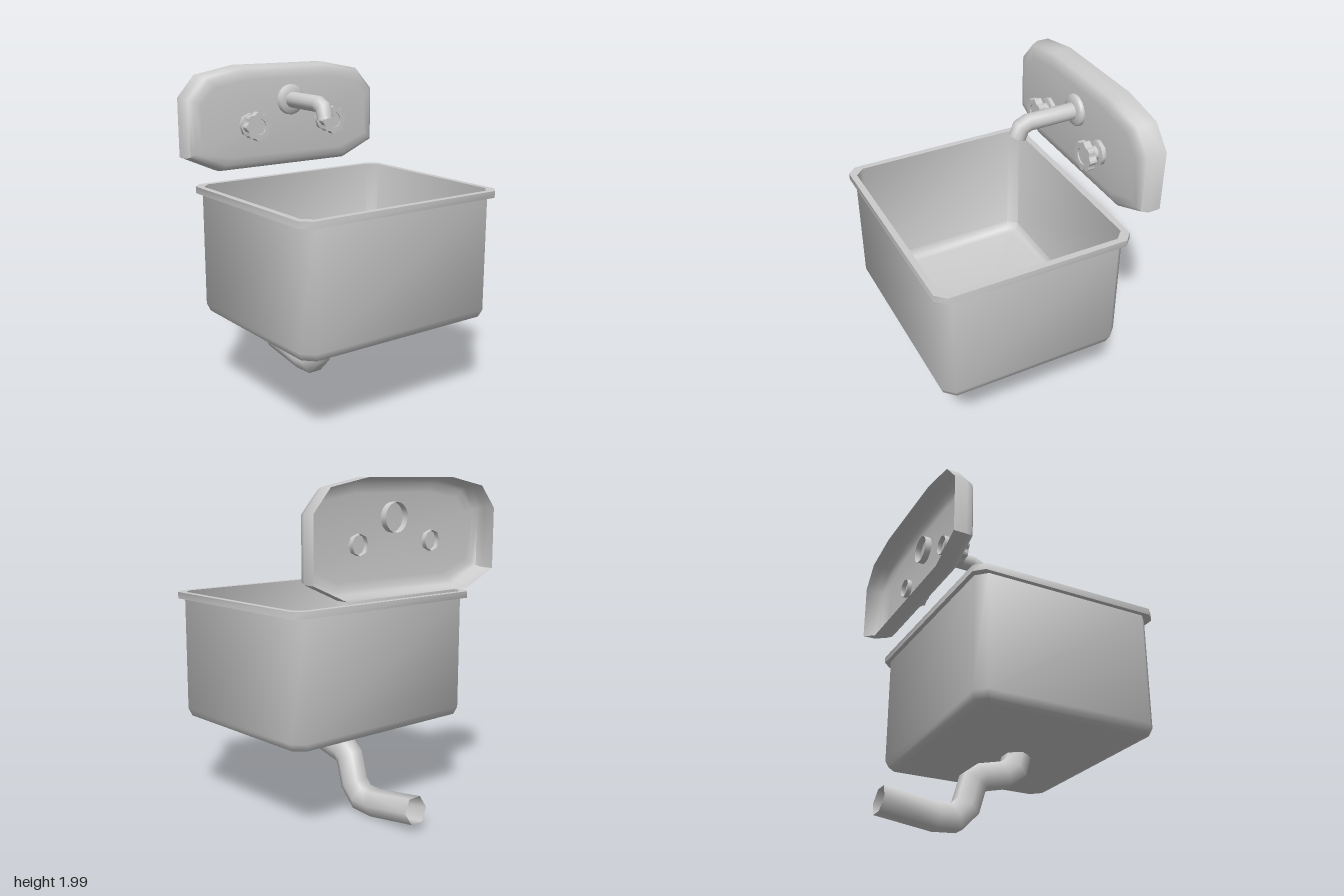
import * as THREE from 'three';
import { toCreasedNormals } from 'three/addons/utils/BufferGeometryUtils.js';

const grey = new THREE.MeshStandardMaterial({ color: 0xcccccc, side: THREE.DoubleSide });

function part(parent, name, geometry, x = 0, y = 0, z = 0) {
  const mesh = new THREE.Mesh(geometry, grey);
  mesh.name = name;
  mesh.position.set(x, y, z);
  parent.add(mesh);
  return mesh;
}

// Skin a list of rings (arrays of [x, y, z]); ends can be closed with a fan
function loft(rings, { startCap = false, endCap = false, crease = 0.95 } = {}) {
  const n = rings[0].length;
  const pos = rings.flat(2);
  const index = [];
  for (let r = 0; r < rings.length - 1; r++) {
    for (let i = 0; i < n; i++) {
      const a = r * n + i, b = r * n + (i + 1) % n;
      index.push(a, b, b + n, a, b + n, a + n);
    }
  }
  const cap = (r, flip) => {
    const c = pos.length / 3;
    for (let k = 0; k < 3; k++) pos.push(rings[r].reduce((s, p) => s + p[k], 0) / n);
    for (let i = 0; i < n; i++) {
      const a = r * n + i, b = r * n + (i + 1) % n;
      index.push(...(flip ? [c, b, a] : [a, b, c]));
    }
  };
  if (startCap) cap(0, true);
  if (endCap) cap(rings.length - 1, false);
  const geo = new THREE.BufferGeometry();
  geo.setAttribute('position', new THREE.Float32BufferAttribute(pos, 3));
  geo.setIndex(index);
  return toCreasedNormals(geo, crease);
}

// Mitred pipe along [z, y] points in the plane of constant x
function pipe(path, radius, sides, cx) {
  const dir = (a, b) => new THREE.Vector2(b[0] - a[0], b[1] - a[1]).normalize();
  const rings = path.map((p, i) => {
    const before = i > 0 ? dir(path[i - 1], p) : dir(p, path[1]);
    const after = i < path.length - 1 ? dir(p, path[i + 1]) : before;
    const t = before.clone().add(after).normalize();
    const h = radius / t.dot(before);
    return Array.from({ length: sides }, (_, k) => {
      const a = k / sides * Math.PI * 2, s = Math.sin(a) * h;
      return [cx + Math.cos(a) * radius, p[1] + t.x * s, p[0] - t.y * s];
    });
  });
  return loft(rings, { crease: 1.2 });
}

// Surface turned about the z axis from [radius, z] points
function turned(profile, sides) {
  const geo = new THREE.LatheGeometry(profile.map(([r, z]) => new THREE.Vector2(r, z)), sides);
  return toCreasedNormals(geo.rotateX(Math.PI / 2), 0.9);
}

const polar = (r, a) => new THREE.Vector2(r * Math.cos(a), r * Math.sin(a));

// Horizontal rectangle with cut corners
function basinRing(inset, y, cut) {
  const hx = 0.70 - inset, hz = 0.60 - inset;
  return [[hz, -hx + cut], [hz, hx - cut], [hz - cut, hx], [-hz + cut, hx],
    [-hz, hx - cut], [-hz, -hx + cut], [-hz + cut, -hx], [hz - cut, -hx]]
    .map(([z, x]) => [x, y, z + 0.112]);
}

function createBasin() {
  const rings = [
    [0.085, 0.52, 0.05], [0.045, 0.535, 0.06], [0.028, 0.58, 0.06], [0.028, 1.27, 0.06],
    [0, 1.27, 0.055], [0, 1.31, 0.055], [0.038, 1.31, 0.055],
    [0.045, 0.59, 0.055], [0.07, 0.55, 0.05], [0.11, 0.535, 0.045],
  ];
  return loft(rings.map(r => basinRing(...r)), { startCap: true, endCap: true });
}

function createBacksplash() {
  const outline = [[0.70, 1.46], [0.70, 1.82], [0.585, 1.95], [0.32, 2.0], [-0.32, 2.0],
    [-0.585, 1.95], [-0.70, 1.82], [-0.70, 1.46], [-0.475, 1.36], [0.475, 1.36]];
  const steps = [[0, -0.63], [0, -0.555], [0.015, -0.515], [0.04, -0.497], [0.085, -0.49]];
  const rings = steps.map(([inset, z]) => outline.map(([x, y]) =>
    [x * (1 - inset / 0.70), 1.68 + (y - 1.68) * (1 - inset / 0.32), z]));
  return loft(rings, { endCap: true });
}

function createHandle(name, x) {
  const handle = new THREE.Group();
  handle.name = name;
  handle.position.set(x, 1.64, 0);
  part(handle, 'handleFlange',
    turned([[0.06, -0.52], [0.06, -0.49], [0.075, -0.49], [0.075, -0.465], [0.045, -0.46]], 8));
  part(handle, 'handleStem', turned([[0.042, -0.465], [0.042, -0.385], [0, -0.385]], 12));
  // Eight-lobed knob with a shallow recess in its front
  const lobes = Array.from({ length: 48 }, (_, i) => {
    const a = i / 48 * Math.PI * 2;
    return polar(0.083 + 0.007 * Math.cos(8 * a), a);
  });
  const knob = new THREE.Shape(lobes);
  part(handle, 'knobBack', new THREE.ExtrudeGeometry(knob, { depth: 0.035, bevelEnabled: false }), 0, 0, -0.418);
  knob.holes.push(new THREE.Path(Array.from({ length: 16 }, (_, i) => polar(0.05, -i / 8 * Math.PI))));
  part(handle, 'knobFront', new THREE.ExtrudeGeometry(knob, { depth: 0.009, bevelEnabled: false }), 0, 0, -0.383);
  return handle;
}

function createDrain(x, y, z) {
  const drain = new THREE.Group();
  drain.name = 'drain';
  drain.position.set(x, y, z);
  const disc = new THREE.Shape(Array.from({ length: 20 }, (_, i) => polar(0.09, i / 10 * Math.PI)));
  const slots = 10;
  for (let i = 0; i < slots; i++) {
    const a = i / slots * Math.PI * 2;
    disc.holes.push(new THREE.Path([
      polar(0.03, a - 0.13), polar(0.03, a + 0.13), polar(0.081, a + 0.19), polar(0.081, a - 0.19)]));
  }
  const grate = new THREE.ExtrudeGeometry(disc, { depth: 0.012, bevelEnabled: false });
  part(drain, 'drainGrate', grate.rotateX(-Math.PI / 2));
  const rim = [[0.105, -0.005], [0.105, 0.003], [0.1, 0.009], [0.088, 0.012]];
  part(drain, 'drainRim', new THREE.LatheGeometry(rim.map(p => new THREE.Vector2(...p)), 20));
  return drain;
}

export function createModel() {
  const sink = new THREE.Group();
  sink.name = 'wallSink';
  part(sink, 'basin', createBasin());
  part(sink, 'backsplash', createBacksplash());
  sink.add(createDrain(0.015, 0.536, 0.135));

  // Spout with its wall flange
  part(sink, 'spoutFlange',
    turned([[0.085, -0.53], [0.085, -0.49], [0.095, -0.487], [0.095, -0.47], [0.085, -0.46], [0.05, -0.455]], 20),
    0.015, 1.78);
  part(sink, 'spout',
    pipe([[-0.49, 1.78], [-0.17, 1.777], [-0.125, 1.757], [-0.103, 1.70]], 0.05, 14, 0.015));

  for (const [name, x] of [['rightHandle', -0.285], ['leftHandle', 0.28]]) {
    sink.add(createHandle(name, x));
  }

  // Waste pipe bending back to the wall
  part(sink, 'wastePipe', pipe([[0.145, 0.53], [0.122, 0.44], [0.05, 0.387], [-0.1, 0.35], [-0.145, 0.315],
    [-0.19, 0.16], [-0.26, 0.088], [-0.375, 0.08], [-0.71, 0.127]], 0.086, 6, 0.015));
  return sink;
}
